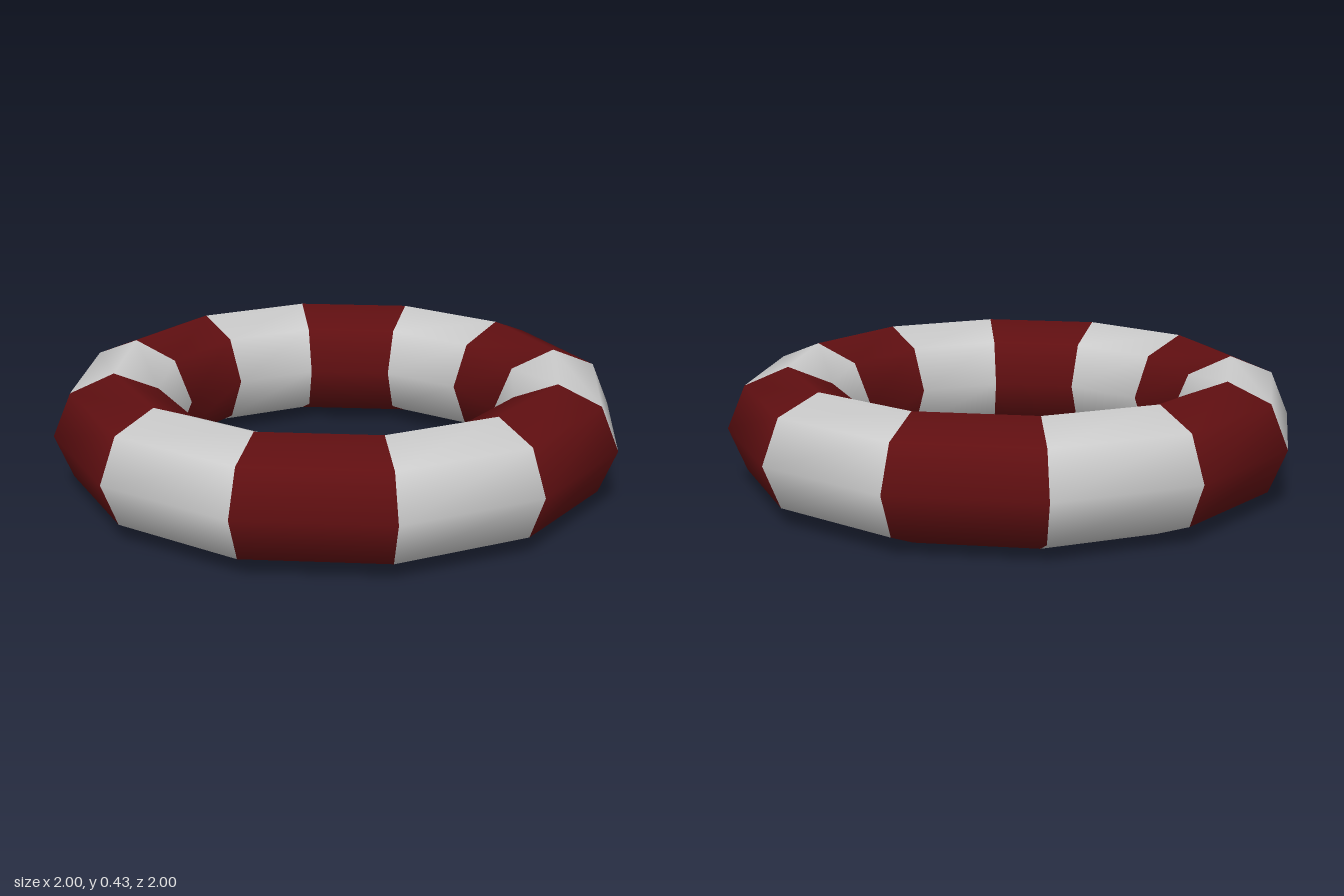
import * as THREE from 'three';

const RING_RADIUS = 0.785;
const TUBE_RADIUS = 0.215;
const SEGMENTS = 12;
const SIDES = 8;

export function createModel() {
  const model = new THREE.Group();
  model.name = 'stripedRing';

  const light = new THREE.MeshStandardMaterial({ color: 0xcccccc });
  const red = new THREE.MeshStandardMaterial({ color: 0x600f11 });

  // One straight tube section, laid flat; smooth normals around the tube
  const arc = (Math.PI * 2) / SEGMENTS;
  const section = new THREE.TorusGeometry(RING_RADIUS, TUBE_RADIUS, SIDES, 1, arc);
  section.rotateX(Math.PI / 2);

  // Twelve sections alternating in colour around the ring
  for (let i = 0; i < SEGMENTS; i++) {
    const isRed = i % 2 === 1;
    const mesh = new THREE.Mesh(section, isRed ? red : light);
    mesh.name = isRed ? 'redSection' : 'lightSection';
    mesh.rotation.y = -i * arc;
    mesh.position.y = TUBE_RADIUS;
    model.add(mesh);
  }
  return model;
}
